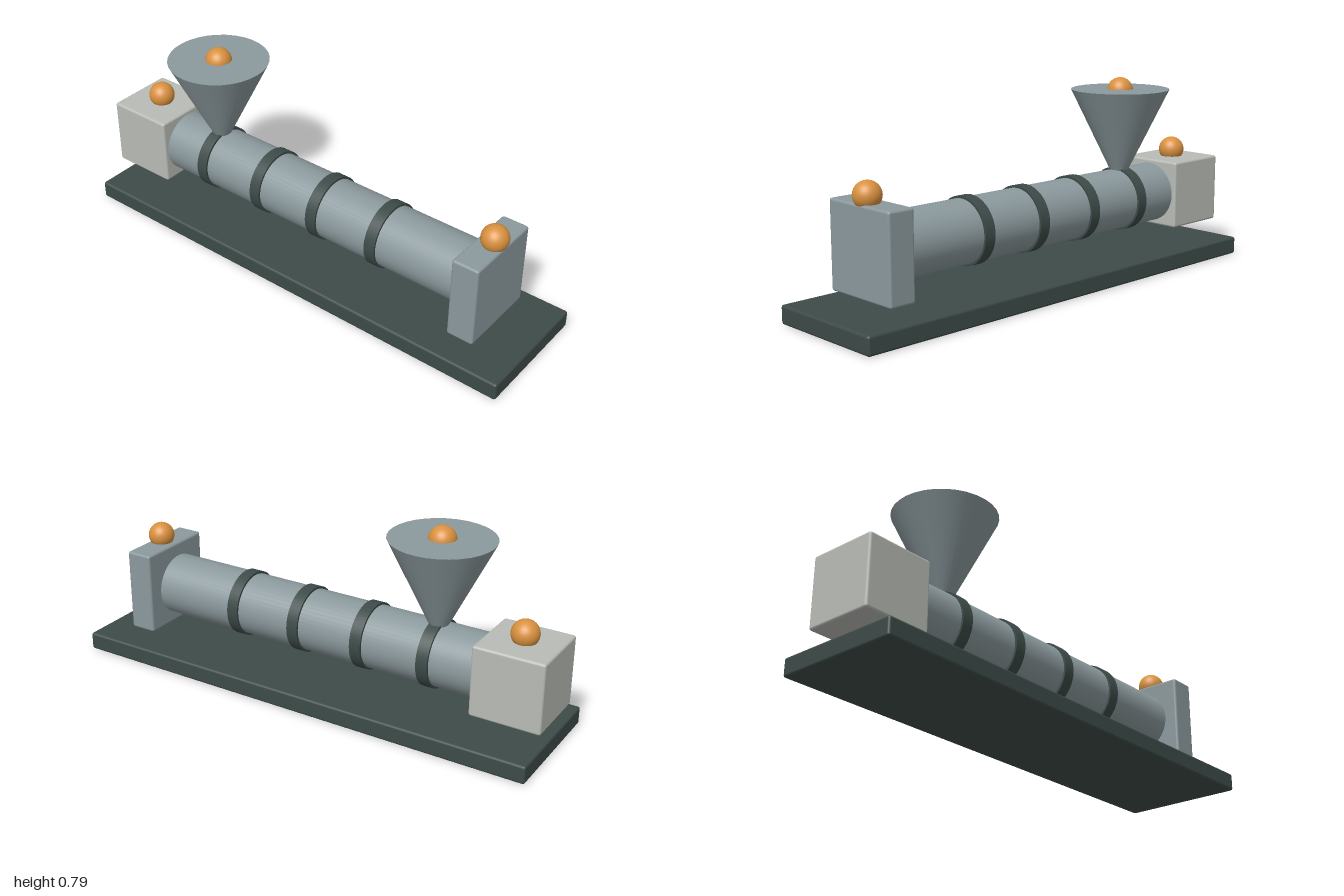
import * as THREE from 'three';
import { RoundedBoxGeometry } from 'three/addons/geometries/RoundedBoxGeometry.js';

export function createModel() {
  const model = new THREE.Group();
  const material = (color) => new THREE.MeshStandardMaterial({ color });
  const dark = material(0x3d4b48);
  const steel = material(0x8b999d);
  const pale = material(0xb9bcb6);
  const orange = material(0xd9913f);

  const add = (name, geometry, mat, x, y, z = 0) => {
    const mesh = new THREE.Mesh(geometry, mat);
    mesh.name = name;
    mesh.position.set(x, y, z);
    model.add(mesh);
    return mesh;
  };
  const box = (w, h, d) => new RoundedBoxGeometry(w, h, d, 3, 0.01);
  const axisY = 0.28;

  // Base plate, drive housing and end plate
  add('basePlate', box(2, 0.073, 0.514), dark, 0, 0.0365);
  add('driveHousing', box(0.283, 0.283, 0.283), pale, -0.8585, axisY);
  add('endPlate', box(0.112, 0.342, 0.342), steel, 0.783, 0.281);

  // Horizontal barrel with evenly spaced bands
  add('barrel', new THREE.CylinderGeometry(0.125, 0.125, 1.427, 48).rotateZ(Math.PI / 2),
    steel, -0.002, axisY);
  for (let i = 0; i < 4; i++) {
    add('barrelBand', new THREE.CylinderGeometry(0.134, 0.134, 0.048, 48).rotateZ(Math.PI / 2),
      dark, -0.516 + i * 0.2855, axisY);
  }

  // Feed hopper, closed at the top
  add('hopper', new THREE.CylinderGeometry(0.204, 0.037, 0.342, 32), steel, -0.516, 0.571);

  // Round markers on the housing, hopper and end plate
  for (const [name, x, y] of [
    ['housingMarker', -0.86, 0.45],
    ['hopperMarker', -0.516, 0.737],
    ['endMarker', 0.797, 0.48],
  ]) {
    add(name, new THREE.SphereGeometry(0.0535, 32, 20), orange, x, y);
  }
  return model;
}
